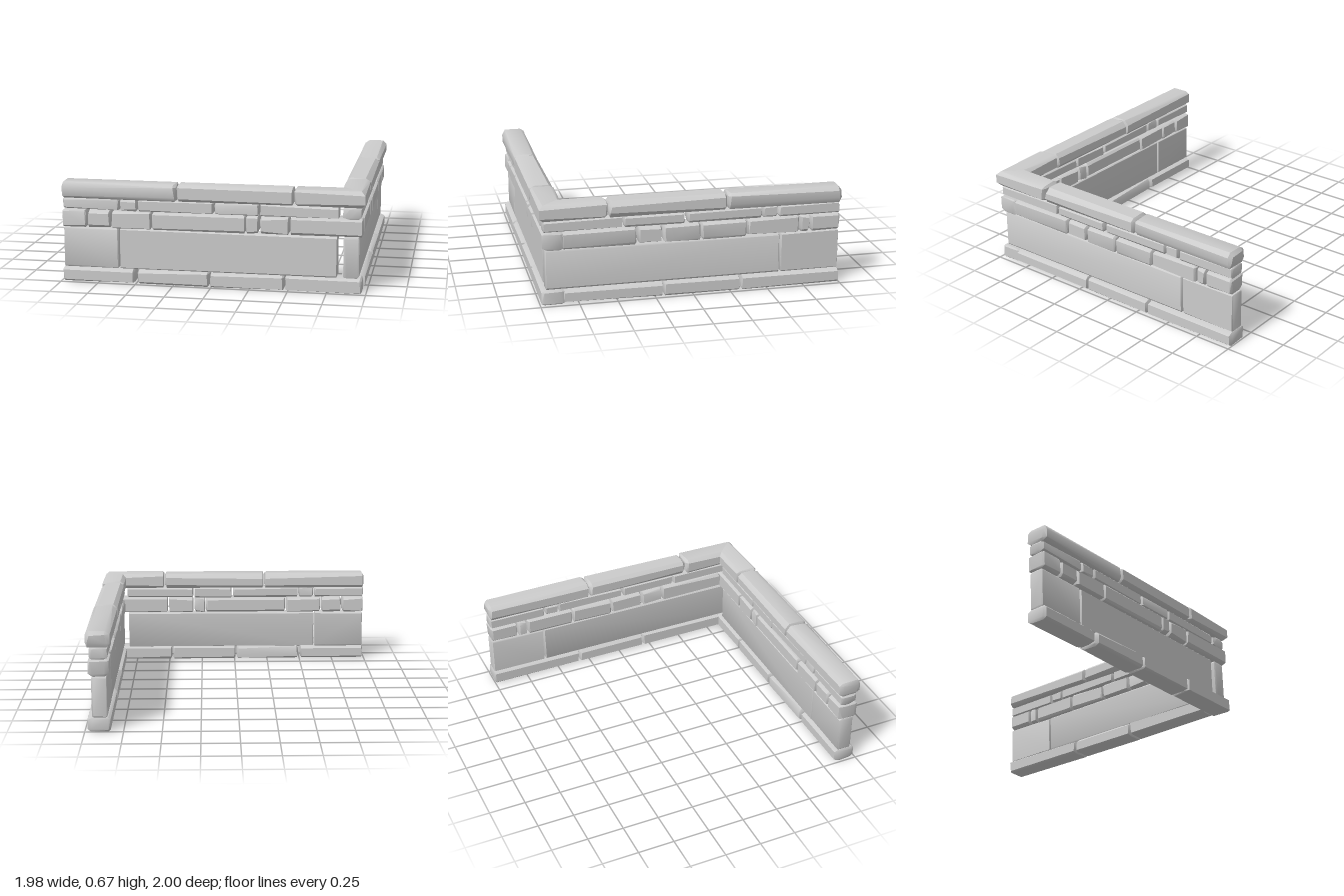
import * as THREE from 'three';
import { ConvexGeometry } from 'three/addons/geometries/ConvexGeometry.js';
import { toCreasedNormals } from 'three/addons/utils/BufferGeometryUtils.js';

const material = new THREE.MeshStandardMaterial({ color: 0xcccccc });

// small seeded generator
function makeRandom(seed) {
  let s = seed;
  return () => (s = (s * 16807) % 2147483647) / 2147483647;
}

// Courses of the wall, bottom to top.
// y, depth: extents (depth runs from the inner face to the outer face);
// chip: size of the chipped corners; rough: extra chipping of the outer and inner faces;
// front: stones along x, side: stones along z, as [start, end].
const courses = [
  {
    name: 'baseStone', y: [0.005, 0.1], depth: [0.84, 0.99], chip: 0.014, rough: 0.035,
    front: [[-0.98, -0.5], [-0.48, -0.01], [0, 0.48], [0.49, 0.98]],
    side: [[-1, -0.33], [-0.32, 0.19], [0.2, 0.85]],
  },
  {
    name: 'largeBlock', y: [0.1, 0.365], depth: [0.86, 0.96], chip: 0.008, rough: 0.012,
    front: [[-0.975, -0.61], [-0.6, 0.82]],
    side: [[-0.995, -0.6], [-0.59, 0.96]],
  },
  {
    name: 'lowerRubble', y: [0.37, 0.482], depth: [0.845, 0.98], chip: 0.014, rough: 0.03,
    front: [[-0.98, -0.82], [-0.81, -0.66], [-0.65, -0.39], [-0.38, 0.23],
      [0.235, 0.315], [0.325, 0.51], [0.52, 0.98]],
    side: [[-0.995, -0.8], [-0.79, -0.725], [-0.715, -0.37], [-0.36, -0.06],
      [-0.05, 0.19], [0.2, 0.355], [0.37, 0.85]],
  },
  {
    name: 'upperRubble', y: [0.485, 0.562], depth: [0.855, 0.97], chip: 0.012, rough: 0.03,
    front: [[-0.98, -0.605], [-0.595, -0.485], [-0.475, 0.02], [0.03, 0.315], [0.325, 0.83]],
    side: [[-0.995, -0.58], [-0.57, -0.475], [-0.465, 0.03], [0.05, 0.45], [0.46, 0.97]],
  },
  {
    name: 'copingStone', y: [0.562, 0.67], depth: [0.835, 0.995], chip: 0.025, rough: 0, mitre: true,
    front: [[-0.98, -0.22], [-0.215, 0.54], [0.545, 1]],
    side: [[-1, -0.23], [-0.225, 0.55], [0.555, 1]],
  },
];

// A block with three points around each corner, each corner chipped by its own amount.
function stoneGeometry([u0, u1], course, alongX, random) {
  const { y, depth, chip, rough, mitre } = course;
  const points = [];
  const vary = (size) => size * (0.5 + random());
  for (const u of [u0, u1]) {
    for (const h of y) {
      for (const d of depth) {
        const su = u === u0 ? 1 : -1;
        const sh = h === y[0] ? 1 : -1;
        const sd = d === depth[0] ? 1 : -1;
        const joined = mitre && u === 1;
        const cu = joined ? 0 : vary(chip) * 0.6;
        const ch = joined ? chip : vary(chip);
        const cd = joined ? chip : vary(chip) + rough * random() ** 2;
        const corner = [[0, ch, cd], [cu, 0, cd], [cu, ch, 0]];
        for (const [a, b, c] of corner) {
          const across = d + sd * c;
          // the coping meets at the corner on a diagonal
          const along = joined ? across : u + su * a;
          const up = h + sh * b;
          points.push(alongX
            ? new THREE.Vector3(along, up, across)
            : new THREE.Vector3(across, up, along));
        }
      }
    }
  }
  return toCreasedNormals(new ConvexGeometry(points), 0.6);
}

export function createModel() {
  const model = new THREE.Group();
  model.name = 'cornerStoneWall';
  const random = makeRandom(4127);

  for (const [legName, key, alongX] of [['frontWall', 'front', true], ['sideWall', 'side', false]]) {
    const leg = new THREE.Group();
    leg.name = legName;
    for (const course of courses) {
      for (const span of course[key]) {
        const stone = new THREE.Mesh(stoneGeometry(span, course, alongX, random), material);
        stone.name = course.name;
        leg.add(stone);
      }
    }
    model.add(leg);
  }

  model.position.x = -0.008;
  return model;
}
